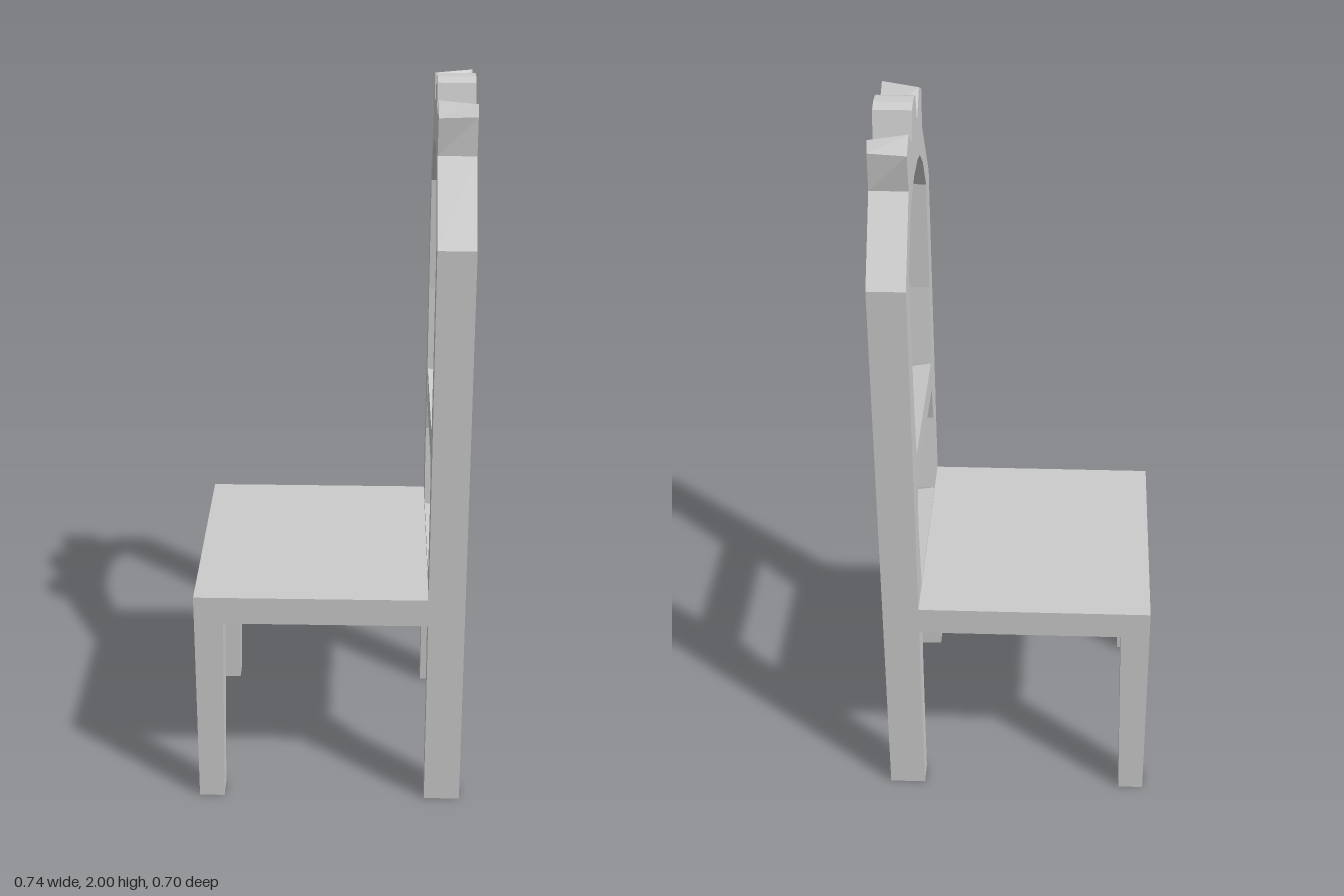
import * as THREE from 'three';

const material = new THREE.MeshStandardMaterial({ color: 0xcccccc, flatShading: true });

function addMesh(group, geometry, name) {
  const flat = geometry.index ? geometry.toNonIndexed() : geometry;
  flat.computeVertexNormals();
  const mesh = new THREE.Mesh(flat, material);
  mesh.name = name;
  group.add(mesh);
  return mesh;
}

// Extrude a shape drawn in (z, y) along x, from x0 to x1
function extrudeAlongX(points, x0, x1) {
  const shape = new THREE.Shape(points.map(([z, y]) => new THREE.Vector2(z, y)));
  const geometry = new THREE.ExtrudeGeometry(shape, { depth: x1 - x0, bevelEnabled: false });
  return geometry.rotateY(-Math.PI / 2).translate(x1, 0, 0);
}

const mirrored = (half) => half.concat(half.map(([z, y]) => [-z, y]).reverse());

// Move the vertices of a geometry by a rule
function reshape(geometry, rule) {
  const p = geometry.attributes.position;
  const v = new THREE.Vector3();
  for (let i = 0; i < p.count; i++) {
    rule(v.fromBufferAttribute(p, i));
    p.setXYZ(i, v.x, v.y, v.z);
  }
  return geometry;
}

// Posts, arch and three-pointed crest in one outline
function backFrame() {
  const outer = [[0.352, 0], [0.352, 1.64], [0.2, 1.84], [0.213, 1.94], [0.15, 1.97],
    [0.07, 1.91], [0.048, 1.99], [0.02, 2]];
  const inner = [[0.285, 0], [0.272, 0.44], [0.24, 0.58], [0.24, 0.645], [0.265, 0.88], [0.243, 0.99],
    [0.245, 1.08], [0.264, 1.32], [0.264, 1.64], [0.19, 1.74], [0.115, 1.795], [0.05, 1.812]];
  const outline = mirrored(outer).concat(mirrored(inner).reverse());
  // The side points narrow to a tip at the rear
  return reshape(extrudeAlongX(outline, 0.27, 0.37), (v) => {
    if (v.x < 0.36) return;
    const side = Math.sign(v.z);
    if (Math.abs(v.y - 1.97) < 0.005) v.z = side * 0.188;
    else if (Math.abs(v.y - 1.94) < 0.005) v.z = side * 0.2;
  });
}

// Cross rail whose rear edge is slimmer than its front
function rail(bottom, top) {
  const middle = (bottom + top) / 2;
  const geometry = new THREE.BoxGeometry(0.098, top - bottom, 0.56).translate(0.32, middle, 0);
  return reshape(geometry, (v) => {
    if (v.x > 0.32) v.y = middle + (v.y - middle) * 0.6;
  });
}

// Front leg, tapering on its inner sides
function frontLeg(side) {
  const geometry = new THREE.BoxGeometry(0.08, 0.57, 0.08).translate(-0.33, 0.285, side * 0.312);
  return reshape(geometry, (v) => {
    if (v.y > 0.1) return;
    if (v.x > -0.33) v.x -= 0.01;
    if (Math.abs(v.z) < 0.3) v.z += side * 0.012;
  });
}

export function createModel() {
  const chair = new THREE.Group();
  chair.name = 'chair';

  addMesh(chair, new THREE.BoxGeometry(0.64, 0.08, 0.704).translate(-0.05, 0.605, 0), 'seat');
  addMesh(chair, backFrame(), 'backFrame');
  addMesh(chair, rail(0.99, 1.08), 'middleRail');
  addMesh(chair, rail(0.57, 0.645), 'seatRail');
  addMesh(chair, frontLeg(1), 'frontLegLeft');
  addMesh(chair, frontLeg(-1), 'frontLegRight');

  return chair;
}
